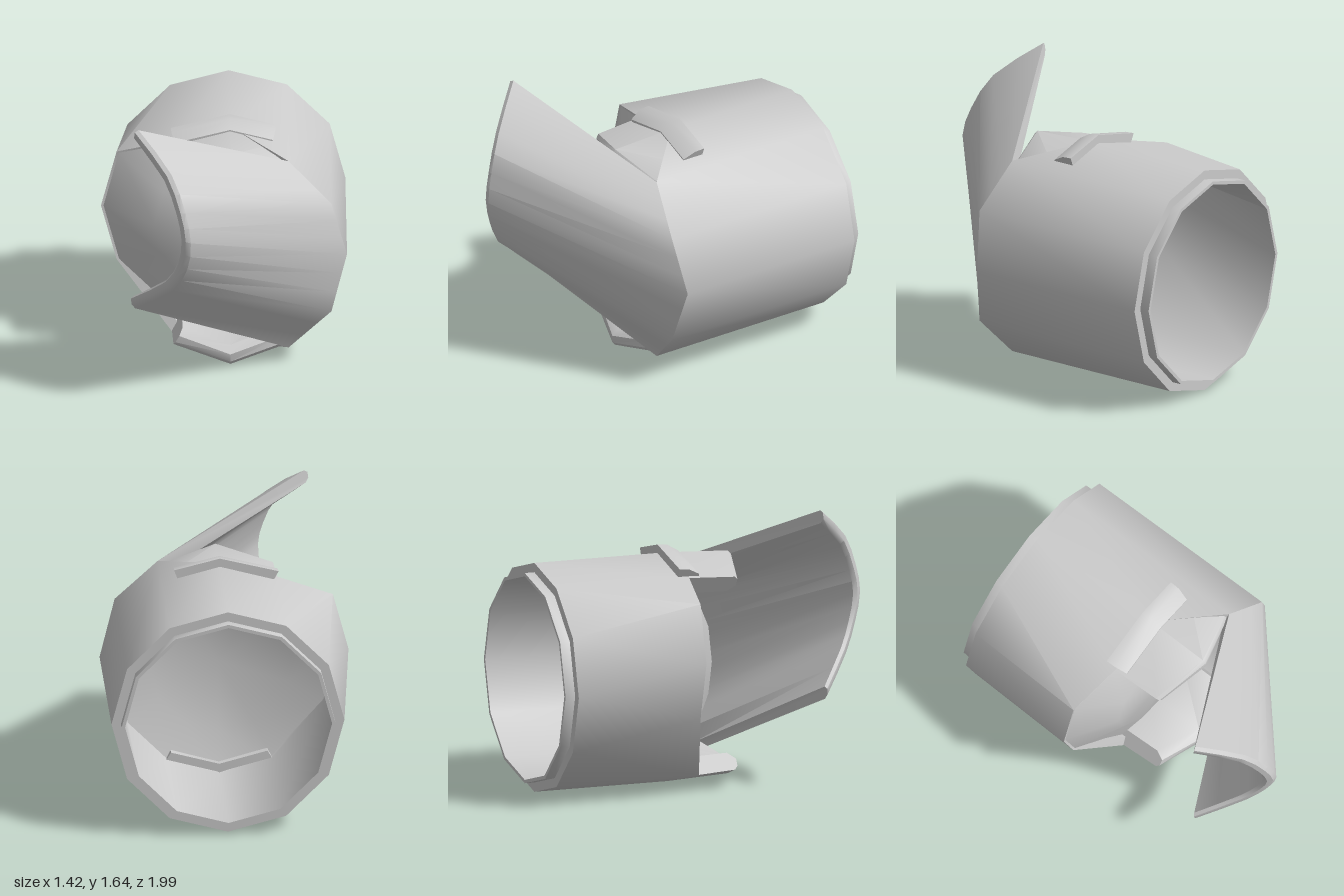
import * as THREE from 'three';
import { toCreasedNormals } from 'three/addons/utils/BufferGeometryUtils.js';

const CX = 0.035, CY = 0.675, R = 0.675;
const V = (x, y, z) => new THREE.Vector3(x, y, z);
// point on the sleeve: angle in degrees, radius, depth
const polar = (deg, r, z) => {
  const a = THREE.MathUtils.degToRad(deg);
  return V(CX + r * Math.cos(a), CY + r * Math.sin(a), z);
};

const material = new THREE.MeshStandardMaterial({ color: 0xcccccc, side: THREE.DoubleSide });

function meshFrom(name, tris, crease = 0.75) {
  // turn the faces outward when the enclosed volume is negative
  let volume = 0;
  for (const [a, b, c] of tris) volume += a.dot(b.clone().cross(c));
  const points = tris.flatMap(([a, b, c]) => (volume < 0 ? [a, c, b] : [a, b, c]));
  const geometry = toCreasedNormals(new THREE.BufferGeometry().setFromPoints(points), crease);
  const mesh = new THREE.Mesh(geometry, material);
  mesh.name = name;
  return mesh;
}

// solid skinned over a row of closed cross-sections
function loft(name, sections, ring = false) {
  const tris = [], n = sections.length, m = sections[0].length;
  for (let i = 0; i < (ring ? n : n - 1); i++) {
    const s = sections[i], t = sections[(i + 1) % n];
    for (let j = 0; j < m; j++) {
      const k = (j + 1) % m;
      tris.push([s[j], t[j], t[k]], [s[j], t[k], s[k]]);
    }
  }
  if (!ring) {
    const s = sections[0], t = sections[n - 1];
    for (let j = 1; j < m - 1; j++) {
      tris.push([s[0], s[j], s[j + 1]], [t[0], t[j + 1], t[j]]);
    }
  }
  return meshFrom(name, tris);
}

// front depth of the sleeve at each 30 degree step
const frontZ = [0.2, 0.25, 0.2, -0.11, -0.11, -0.17, -0.17, -0.17, -0.05, -0.11, 0.2, 0.25];
const isFlared = i => i >= 5 && i <= 7;
function frontPoint(i, r, z = frontZ[i]) {
  const p = polar(i * 30, r, z);
  return isFlared(i) ? p.add(V(-0.07, 0.155, 0)) : p;
}

// twelve-sided sleeve with a stepped collar at the back
function sleeve() {
  const sections = [];
  for (let i = 0; i < 12; i++) {
    const a = i * 30;
    sections.push([
      polar(a, 0.6, -1), polar(a, 0.62, -1), polar(a, 0.62, -0.94), polar(a, R, -0.94),
      frontPoint(i, R), frontPoint(i, 0.61, frontZ[i] - 0.01),
      frontPoint(i, 0.61, Math.min(frontZ[i] - 0.02, -0.12)),
    ]);
  }
  return loft('sleeve', sections, true);
}

// domed wall closing the front of the sleeve
function innerWall() {
  const tris = [], tip = V(CX, 0.7, 0.03);
  const edge = i => frontPoint(i % 12, 0.66, Math.min(frontZ[i % 12], -0.1));
  const mid = i => {
    const p = edge(i).lerp(tip, 0.4);
    p.z = -0.01;
    return p;
  };
  for (let i = 0; i < 12; i++) {
    tris.push([edge(i), edge(i + 1), mid(i + 1)], [edge(i), mid(i + 1), mid(i)]);
    tris.push([mid(i), mid(i + 1), tip]);
  }
  return meshFrom('innerWall', tris);
}

// thick lip, used above and below the mouth
function lip(name, angles) {
  const depths = [0.2, 0.29, 0.2];
  return loft(name, angles.map((a, i) => {
    const z = depths[i];
    return [
      polar(a, R, -0.11), polar(a, 0.657, z - 0.02), polar(a, 0.635, z),
      polar(a, 0.59, z), polar(a, 0.55, z - 0.05), polar(a, 0.56, -0.11),
    ];
  }));
}

// curved guard sweeping forward and across from the sleeve's left side
function guard() {
  const rim = new THREE.CatmullRomCurve3([
    V(-0.50, 1.64, 0.63), V(-0.31, 1.45, 0.85), V(-0.23, 1.25, 0.95), V(-0.20, 1.08, 0.99),
    V(-0.22, 0.9, 0.95), V(-0.30, 0.73, 0.86), V(-0.52, 0.53, 0.65),
  ]);
  const root = [2, 1, 0, 11, 10].map(i => frontPoint(i, R));
  const rootAxis = V(CX, CY, 0.1), rimAxis = V(-0.58, 1.08, 0.6);
  const inward = (p, axis, d) => p.clone().add(axis.clone().sub(p).setLength(d));
  const sections = [], steps = 12;
  for (let j = 0; j <= steps; j++) {
    const s = (j / steps) * 4, k = Math.min(Math.floor(s), 3);
    const base = root[k].clone().lerp(root[k + 1], s - k);
    const end = rim.getPoint(j / steps);
    const along = end.clone().sub(base).setLength(0.022);
    sections.push([
      base, end,
      inward(end, rimAxis, 0.02).add(along), inward(end, rimAxis, 0.055).add(along),
      inward(end, rimAxis, 0.075), inward(base, rootAxis, 0.075),
    ]);
  }
  return loft('guard', sections);
}

// low raised ridge over the top of the mouth
function topRidge() {
  return loft('topRidge', [[68, 0.66], [90, R], [118, R]].map(([a, r]) => [
    polar(a, r - 0.06, -0.17), polar(a, r + 0.05, -0.17), polar(a, r + 0.045, -0.11),
    polar(a, r + 0.005, -0.04), polar(a, r - 0.06, -0.04),
  ]));
}

export function createModel() {
  const group = new THREE.Group();
  group.name = 'armGuard';
  group.add(
    sleeve(), innerWall(), guard(), topRidge(),
    lip('upperLip', [60, 90, 120]), lip('lowerLip', [240, 270, 300]),
  );
  return group;
}
